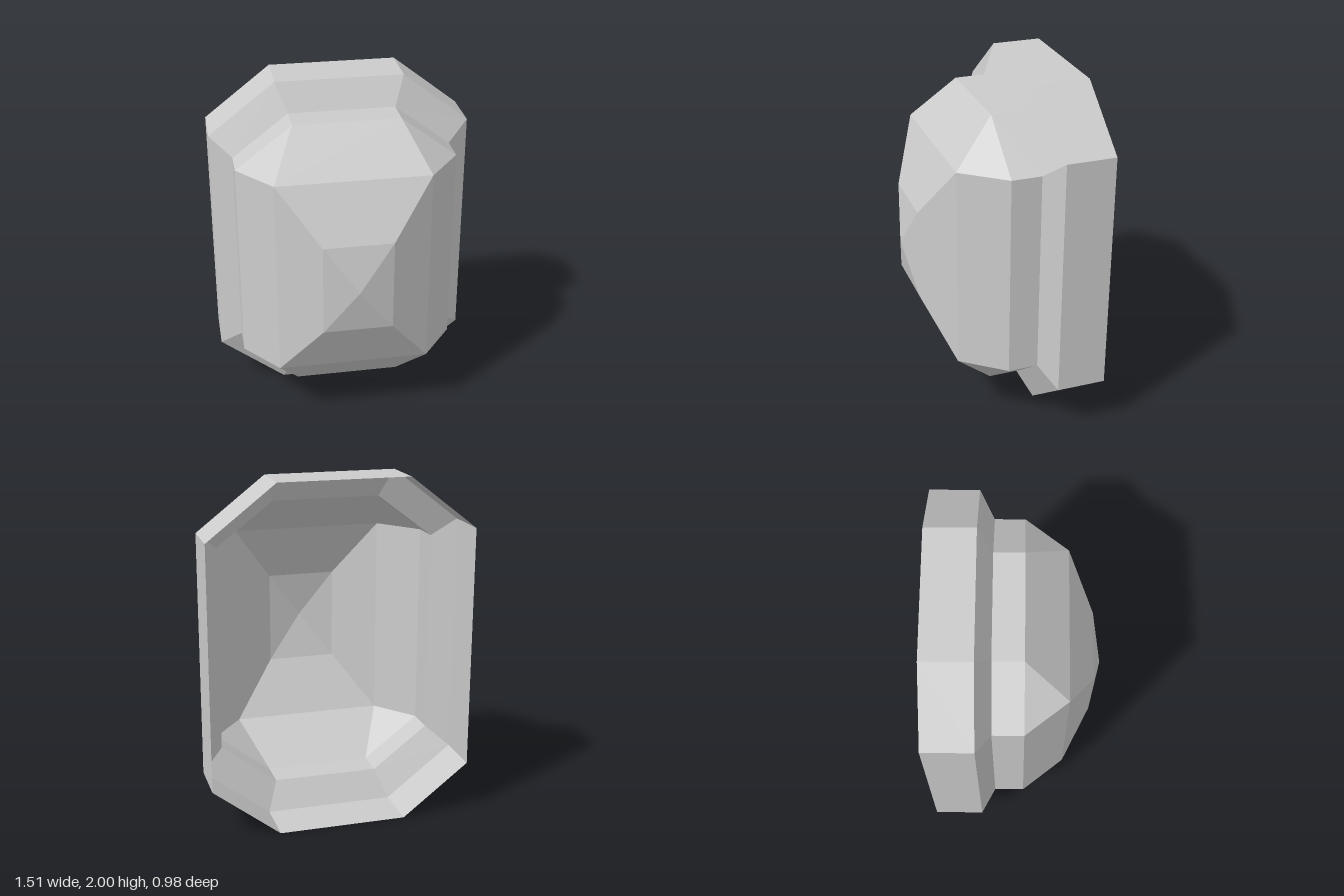
import * as THREE from 'three';

// Eight-cornered ring, counter-clockwise seen from the front:
// a = half length of the top edge at half height h, w = half width at side half height c
function ring(z, a, h, w, c) {
  return [[w, -c], [w, c], [a, h], [-a, h], [-w, c], [-w, -c], [-a, -h], [a, -h]]
    .map(([x, y]) => new THREE.Vector3(x, y + 1, z));
}

// Flat-faced band joining successive rings, listed from back to front
function band(name, rings) {
  const points = [];
  const tri = (...p) => {
    const t = new THREE.Triangle(...p);
    if (t.getArea() > 1e-6) points.push(...p);
  };
  for (let i = 0; i < rings.length - 1; i++) {
    const back = rings[i], front = rings[i + 1];
    for (let j = 0; j < 8; j++) {
      const k = (j + 1) % 8;
      tri(back[j], back[k], front[k]);
      tri(back[j], front[k], front[j]);
    }
  }
  const geometry = new THREE.BufferGeometry().setFromPoints(points);
  geometry.computeVertexNormals();
  const material = new THREE.MeshStandardMaterial({
    color: 0xcccccc, flatShading: true, side: THREE.DoubleSide,
  });
  const mesh = new THREE.Mesh(geometry, material);
  mesh.name = name;
  return mesh;
}

export function createModel() {
  const group = new THREE.Group();
  group.name = 'facetedGem';

  const rimBack = ring(-0.49, 0.37, 1.0, 0.755, 0.7);
  const rimFront = ring(-0.207, 0.37, 1.0, 0.755, 0.7);
  const girdleBack = ring(-0.125, 0.307, 0.84, 0.63, 0.593);
  const girdleFront = ring(0.047, 0.307, 0.84, 0.63, 0.593);
  // Rectangular rings of the crown, closing at a point
  const crownLow = ring(0.288, 0.44, 0.593, 0.44, 0.593);
  const crownHigh = ring(0.438, 0.2, 0.27, 0.2, 0.27);
  const tip = ring(0.49, 0, 0, 0, 0);

  group.add(
    band('settingRim', [rimBack, rimFront]), // open at the back
    band('settingBevel', [rimFront, girdleBack]),
    band('gemGirdle', [girdleBack, girdleFront]),
    band('gemCrown', [girdleFront, crownLow, crownHigh, tip]),
  );
  return group;
}
